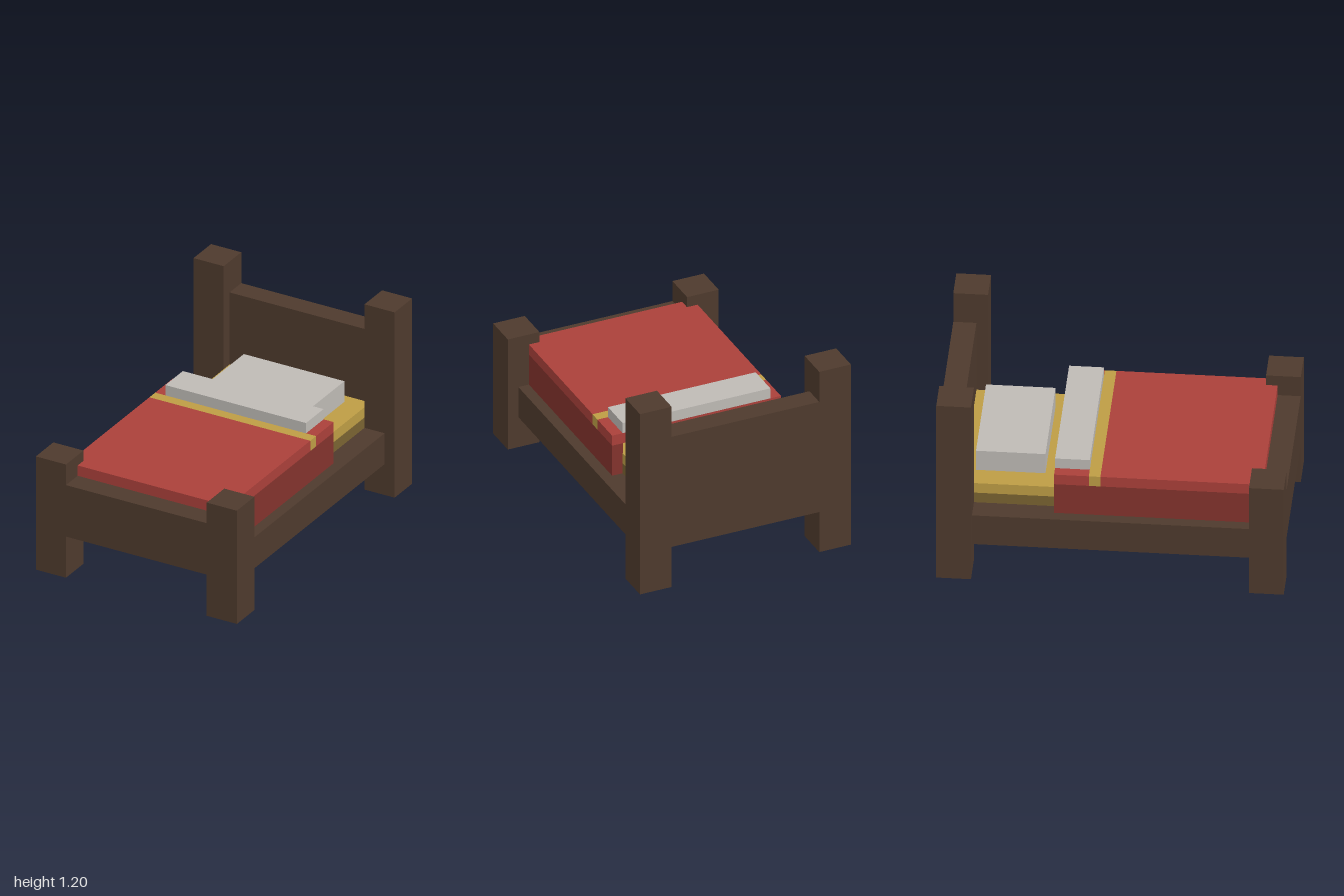
import * as THREE from 'three';

const material = (name, color) => {
  const m = new THREE.MeshStandardMaterial({ color });
  m.name = name;
  return m;
};

export function createModel() {
  const wood = material('dark wood', 0x4e3a2d);
  const red = material('red blanket', 0xaa403a);
  const darkRed = material('dark red blanket', 0x83332d);
  const yellow = material('yellow cloth', 0xbd9d45);
  const darkYellow = material('dark yellow cloth', 0x7a6331);
  const linen = material('pale linen', 0xbebab5);

  const bed = new THREE.Group();
  bed.name = 'bed';

  // All sizes are in units of 1/15; each box is given by its minimum and maximum corners
  const U = 1 / 15;
  const box = (name, mat, [x0, x1], [y0, y1], [z0, z1]) => {
    const geo = new THREE.BoxGeometry((x1 - x0) * U, (y1 - y0) * U, (z1 - z0) * U);
    const mesh = new THREE.Mesh(geo, mat);
    mesh.name = name;
    mesh.position.set((x0 + x1) / 2 * U, (y0 + y1) / 2 * U, (z0 + z1) / 2 * U);
    bed.add(mesh);
  };
  // The same box on the left and right sides
  const pair = (name, mat, [x0, x1], y, z) => {
    box(name + 'Left', mat, [x0, x1], y, z);
    box(name + 'Right', mat, [-x1, -x0], y, z);
  };

  // Frame
  pair('headPost', wood, [7, 10], [0, 18], [-15, -12]);
  pair('footPost', wood, [7, 10], [0, 11], [12, 15]);
  pair('sideRail', wood, [7, 9], [3, 6], [-12, 12]);
  box('headboard', wood, [-7, 7], [4, 15], [-15, -13]);
  box('footboard', wood, [-7, 7], [4, 9], [13, 15]);

  // Mattress in two layers
  box('mattressBase', darkYellow, [-7, 7], [6, 7], [-13, 13]);
  box('mattressTop', yellow, [-7, 7], [7, 8], [-13, 13]);

  // Blanket: hanging sides, tucked just inside the rails, and a striped top
  pair('blanketSide', darkRed, [6.98, 8], [5, 9], [-5, 13]);
  box('blanketTop', red, [-8, 8], [9, 10], [-1, 13]);
  box('blanketStripe', yellow, [-8, 8], [9, 10], [-2, -1]);
  box('blanketEnd', red, [-8, 8], [9, 10], [-5, -2]);

  // Linen
  box('foldedSheet', linen, [-7, 7], [10, 11], [-5, -2]);
  box('pillow', linen, [-5, 5], [8, 10], [-12, -6]);

  return bed;
}
